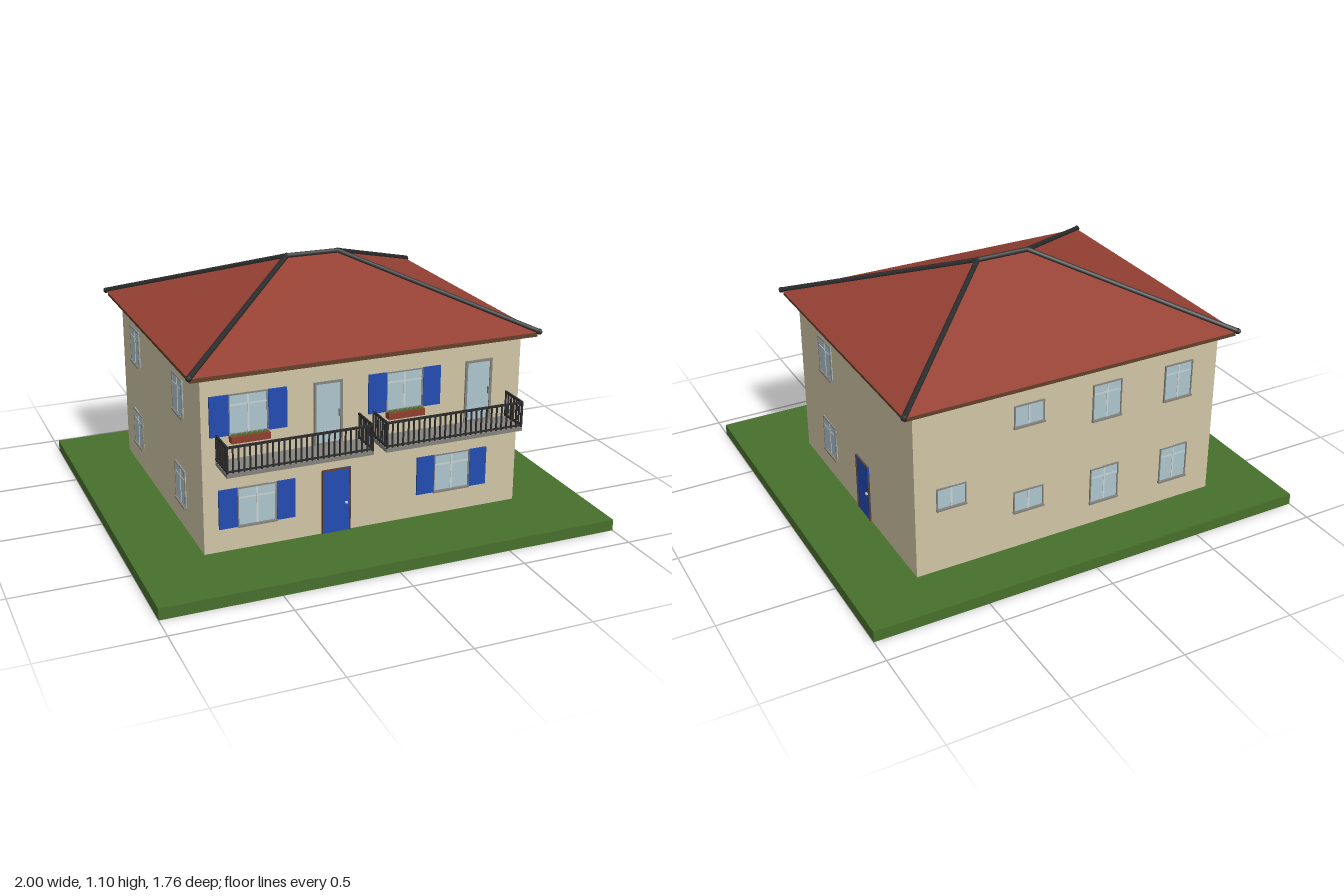
import * as THREE from 'three';
import { mergeGeometries } from 'three/addons/utils/BufferGeometryUtils.js';

function mat(name, color, side = THREE.FrontSide) {
  const m = new THREE.MeshStandardMaterial({ color, side });
  m.name = name;
  return m;
}

// Box geometry given by its minimum and maximum corners
function span(x0, x1, y0, y1, z0, z1) {
  return new THREE.BoxGeometry(x1 - x0, y1 - y0, z1 - z0)
    .translate((x0 + x1) / 2, (y0 + y1) / 2, (z0 + z1) / 2);
}

function add(parent, name, geometry, material) {
  const mesh = new THREE.Mesh(Array.isArray(geometry) ? mergeGeometries(geometry) : geometry, material);
  mesh.name = name;
  parent.add(mesh);
  return mesh;
}

export function createModel() {
  const house = new THREE.Group();
  house.name = 'house';
  const M = {
    grass: mat('grass green', 0x48702d),
    wall: mat('plaster beige', 0xcfc5a5),
    roof: mat('roof tile red', 0x964033),
    dark: mat('iron black', 0x2b2b2b),
    wood: mat('wood brown', 0x63402a),
    blue: mat('paint blue', 0x224cb2),
    glass: mat('glass pale blue', 0xadc4cd),
    stone: mat('stone grey', 0x85837c),
    frame: mat('frame light grey', 0xc9d2d2),
    clay: mat('clay red', 0x8e3f2c),
  };
  const X = 0.708, ZF = 0.533, ZB = -0.65;

  add(house, 'lawn', span(-1, 1, 0, 0.05, -0.88, 0.88), M.grass);
  add(house, 'walls', span(-X, X, 0.05, 0.82, ZB, ZF), M.wall);
  add(house, 'eaves', span(-0.76, 0.76, 0.808, 0.828, -0.7, 0.58), M.wood);

  // Hipped roof: four slopes meeting at a short ridge
  const rx = 0.765, rf = 0.585, rb = -0.706, ey = 0.828, ry = 1.085, rz = -0.06;
  const fl = [-rx, ey, rf], fr = [rx, ey, rf], br = [rx, ey, rb], bl = [-rx, ey, rb];
  const L = [-0.12, ry, rz], R = [0.12, ry, rz];
  const tris = [fl, fr, R, fl, R, L, fr, br, R, br, bl, L, br, L, R, bl, fl, L,
    fl, bl, br, fl, br, fr];
  const roof = new THREE.BufferGeometry();
  roof.setAttribute('position', new THREE.Float32BufferAttribute(tris.flat(), 3));
  roof.computeVertexNormals();
  add(house, 'roof', roof, M.roof);

  // Ridge and hip caps
  const caps = [[L, R], [fl, L], [bl, L], [fr, R], [br, R]].map(([a, b]) => {
    const lift = new THREE.Vector3(0, 0.003, 0);
    const p = new THREE.Vector3(...a).add(lift), q = new THREE.Vector3(...b).add(lift);
    const out = q.clone().sub(p).setLength(0.008);
    return new THREE.TubeGeometry(new THREE.LineCurve3(p.sub(out), q.add(out)), 1, 0.012, 8);
  });
  add(house, 'ridgeCaps', caps, M.dark);
  const ends = [fl, fr, br, bl, L, R].map((p) =>
    new THREE.SphereGeometry(0.013, 8, 6).translate(p[0], p[1] + 0.003, p[2]));
  add(house, 'ridgeCapEnds', ends, M.dark);

  // One group per facade: local x runs along the wall, local z points outward
  function facade(name, x, z, angle) {
    const g = new THREE.Group();
    g.name = name;
    g.position.set(x, 0, z);
    g.rotation.y = angle;
    house.add(g);
    return g;
  }
  const front = facade('frontFacade', 0, ZF, 0);
  const left = facade('leftFacade', X, 0, Math.PI / 2);
  const right = facade('rightFacade', -X, 0, -Math.PI / 2);
  const back = facade('backFacade', 0, ZB, Math.PI);

  function border(w, y0, y1, t, d) {
    const h = w / 2;
    return [span(-h, -h + t, y0, y1, 0, d), span(h - t, h, y0, y1, 0, d),
      span(-h + t, h - t, y1 - t, y1, 0, d), span(-h + t, h - t, y0, y0 + t, 0, d)];
  }

  function opening(parent, name, x) {
    const g = new THREE.Group();
    g.name = name;
    g.position.x = x;
    parent.add(g);
    return g;
  }

  function addWindow(parent, x, w, y0, y1, shutters = false) {
    const g = opening(parent, 'window', x), h = w / 2, bar = y1 - (y1 - y0) * 0.27;
    add(g, 'glass', span(-h, h, y0, y1, 0, 0.003), M.glass);
    add(g, 'windowFrame', border(w, y0, y1, 0.005, 0.007), M.stone);
    const bars = [span(-0.004, 0.004, y0 + 0.005, y1 - 0.005, 0, 0.005)];
    if (y1 - y0 > 0.12) bars.push(span(-h + 0.005, h - 0.005, bar - 0.003, bar + 0.003, 0, 0.0045));
    add(g, 'glazingBars', bars, M.frame);
    add(g, 'sill', span(-h - 0.002, h + 0.002, y0 - 0.004, y0 + 0.004, 0, 0.012), M.stone);
    if (shutters) {
      for (const s of [-1, 1]) {
        const c = s * (h + 0.04);
        add(g, 'shutter', span(c - 0.04, c + 0.04, y0, y1, 0, 0.009), M.blue);
      }
    }
  }

  function addDoor(parent, x, w, y1) {
    const g = opening(parent, 'door', x), h = w / 2;
    add(g, 'doorLeaf', span(-h, h, 0.05, y1, 0, 0.005), M.blue);
    add(g, 'doorFrame', [span(-h, -h + 0.006, 0.05, y1, 0, 0.008), span(h - 0.006, h, 0.05, y1, 0, 0.008),
      span(-h, h, y1 - 0.006, y1, 0, 0.008)], M.wood);
    add(g, 'doorHandle', span(h - 0.026, h - 0.015, 0.175, 0.182, 0, 0.014), M.frame);
  }

  function addBalconyDoor(x) {
    const g = opening(front, 'balconyDoor', x), w = 0.125;
    add(g, 'glass', span(-w / 2, w / 2, 0.45, 0.725, 0, 0.003), M.glass);
    add(g, 'doorFrame', border(w, 0.45, 0.725, 0.01, 0.008), M.stone);
    add(g, 'doorHandle', span(0.044, 0.05, 0.57, 0.6, 0, 0.014), M.stone);
  }

  // Flower box under an upper front window
  function addPlanter(x) {
    const g = opening(front, 'planter', x);
    add(g, 'flowerBox', span(-0.082, 0.082, 0.527, 0.555, 0, 0.034), M.clay);
    const leaves = [];
    for (let i = 0; i < 7; i++) {
      leaves.push(new THREE.IcosahedronGeometry(0.01, 0).translate(-0.066 + i * 0.022, 0.556, 0.018));
    }
    add(g, 'plants', leaves, M.grass);
  }

  // Balcony with slab and barred railing
  function addBalcony(x0, x1) {
    const g = new THREE.Group(), d = 0.142, t = 0.003;
    g.name = 'balcony';
    front.add(g);
    add(g, 'balconySlab', span(x0, x1, 0.435, 0.452, 0, d), M.stone);
    const rail = [];
    for (const [a, b] of [[0.557, 0.566], [0.457, 0.463]]) {
      rail.push(span(x0, x1, a, b, d - 0.008, d));
      rail.push(span(x0, x0 + 0.008, a, b, 0, d - 0.008), span(x1 - 0.008, x1, a, b, 0, d - 0.008));
    }
    const n = 26;
    for (let i = 0; i <= n; i++) {
      const x = x0 + 0.004 + (x1 - x0 - 0.008) * i / n;
      const r = i % n === 0 ? 0.004 : t;
      rail.push(span(x - r, x + r, 0.45, 0.56, d - 0.004 - r, d - 0.004 + r));
    }
    for (const x of [x0 + 0.004, x1 - 0.004]) {
      for (let i = 0; i < 6; i++) {
        const z = 0.004 + i * 0.0225;
        rail.push(span(x - t, x + t, 0.45, 0.56, z - t, z + t));
      }
    }
    add(g, 'railing', rail, M.dark);
  }

  // Front
  for (const x of [-0.512, 0.168]) {
    addWindow(front, x, 0.165, 0.555, 0.725, true);
    addPlanter(x);
  }
  for (const x of [-0.481, 0.398]) addWindow(front, x, 0.168, 0.153, 0.323, true);
  addDoor(front, -0.134, 0.128, 0.336);
  for (const x of [-0.171, 0.511]) addBalconyDoor(x);
  addBalcony(-0.652, -0.03);
  addBalcony(0.026, 0.652);

  // Sides
  for (const [y0, y1] of [[0.153, 0.32], [0.553, 0.72]]) {
    addWindow(left, -0.232, 0.138, y0, y1);
    addWindow(right, 0.232, 0.138, y0, y1);
    addWindow(right, -0.43, 0.138, y0, y1);
    addWindow(back, 0.165, 0.138, y0, y1);
    addWindow(back, 0.515, 0.138, y0, y1);
  }
  addDoor(left, 0.132, 0.13, 0.316);

  // Small back windows
  addWindow(back, -0.2, 0.138, 0.622, 0.72);
  addWindow(back, -0.2, 0.138, 0.222, 0.32);
  addWindow(back, -0.55, 0.13, 0.342, 0.44);

  return house;
}
